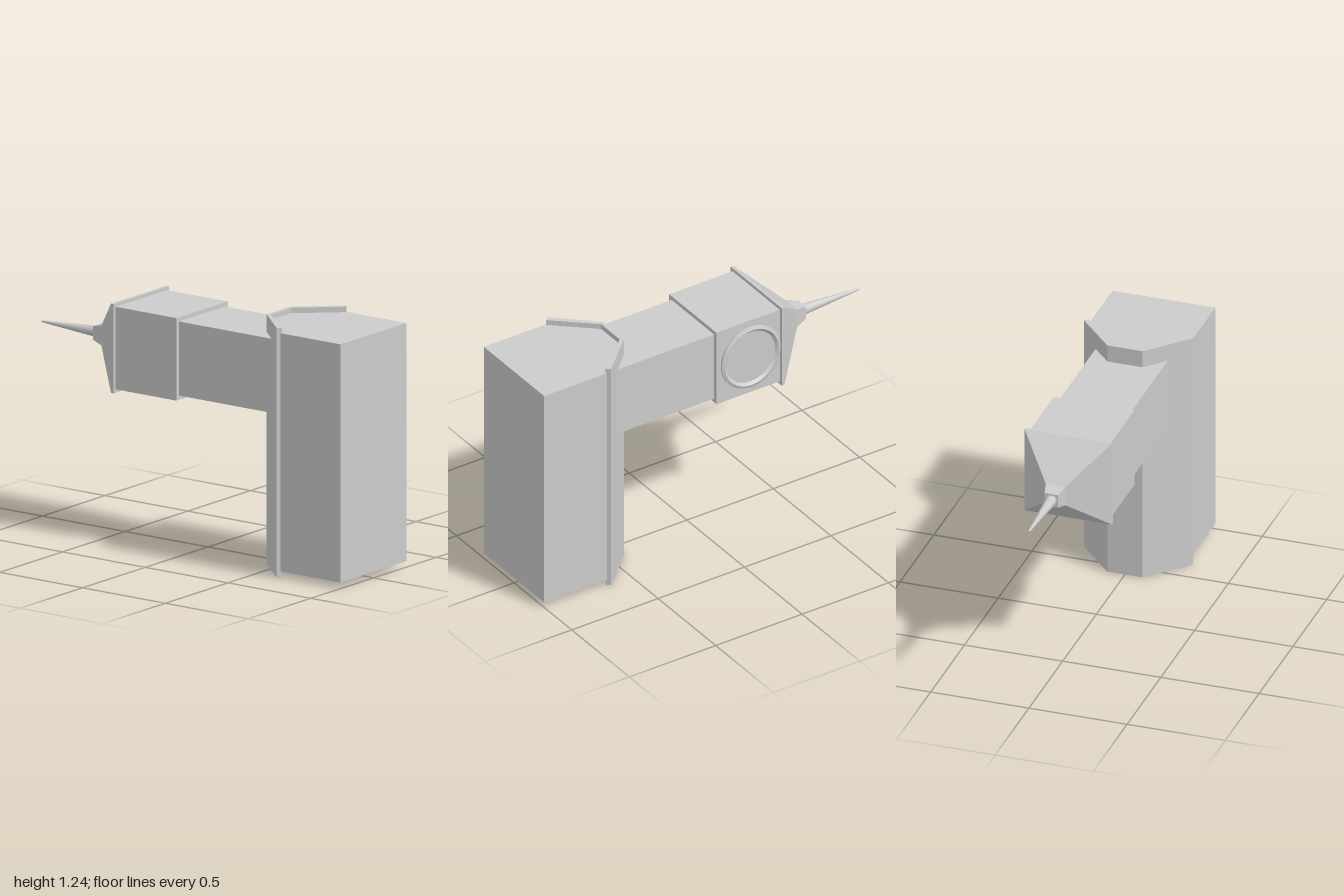
import * as THREE from 'three';

const AXIS_Y = 0.968; // height of the tower axis

export function createModel() {
  const group = new THREE.Group();
  const flat = new THREE.MeshStandardMaterial({ color: 0xcccccc, flatShading: true });
  const smooth = new THREE.MeshStandardMaterial({ color: 0xcccccc });

  const add = (name, geometry, material = flat) => {
    const mesh = new THREE.Mesh(geometry, material);
    mesh.name = name;
    group.add(mesh);
    return mesh;
  };

  // Prism from an (x, z) outline, running from y0 to y1
  const prism = (name, points, y0, y1) => {
    const shape = new THREE.Shape(points.map(([x, z]) => new THREE.Vector2(x, -z)));
    const geometry = new THREE.ExtrudeGeometry(shape, { depth: y1 - y0, bevelEnabled: false });
    add(name, geometry.rotateX(-Math.PI / 2).translate(0, y0, 0));
  };

  // Square block along the tower axis
  const block = (name, half, z0, z1) =>
    add(name, new THREE.BoxGeometry(half * 2, half * 2, z0 - z1).translate(0, AXIS_Y, (z0 + z1) / 2));

  // Square frustum pointing to -z
  const frustum = (name, half0, half1, z0, z1) => {
    const r = Math.SQRT2;
    const geometry = new THREE.CylinderGeometry(half1 * r, half0 * r, z0 - z1, 4)
      .rotateY(Math.PI / 4)
      .rotateX(-Math.PI / 2)
      .translate(0, AXIS_Y, (z0 + z1) / 2);
    add(name, geometry);
  };

  // Hall with its gambrel end, and the roof sheet over it
  prism('hall', [[-0.262, 1], [0.262, 1], [0.262, 0.635], [0.08, 0.442], [-0.08, 0.442], [-0.262, 0.635]], 0.03, 1.213);
  prism('roof', [
    [-0.258, 0.642], [-0.08, 0.442], [0.08, 0.442], [0.258, 0.642],
    [0.277, 0.624], [0.09, 0.423], [-0.09, 0.423], [-0.277, 0.624],
  ], 0, 1.24);

  // Tower, belfry and stepped spire
  block('towerShaft', 0.184, 0.53, -0.035);
  block('belfry', 0.205, -0.035, -0.41);
  block('eave', 0.222, -0.402, -0.417);
  frustum('spireRoof', 0.222, 0.05, -0.417, -0.605);
  frustum('spireNeck', 0.05, 0.034, -0.605, -0.668);
  const spike = add('spike', new THREE.CylinderGeometry(0.005, 0.028, 0.334, 24).rotateX(-Math.PI / 2), smooth);
  spike.position.set(0, AXIS_Y, -0.833);

  // Round dial with a raised rim on the left wall
  const dial = new THREE.Group();
  dial.name = 'dial';
  dial.position.set(0.205, AXIS_Y, -0.23);
  dial.rotation.z = -Math.PI / 2;
  const rimProfile = [[0.17, -0.005], [0.17, 0.01], [0.155, 0.016], [0.141, 0.003]];
  for (let i = 0; i < rimProfile.length - 1; i++) {
    // one lathe band per facet keeps the rim edges sharp
    const band = [rimProfile[i], rimProfile[i + 1]].map(([r, h]) => new THREE.Vector2(r, h));
    const rim = new THREE.Mesh(new THREE.LatheGeometry(band, 48), smooth.clone());
    rim.material.side = THREE.DoubleSide;
    rim.name = 'dialRim';
    dial.add(rim);
  }
  const face = new THREE.Mesh(new THREE.CircleGeometry(0.141, 48).rotateX(-Math.PI / 2), smooth);
  face.name = 'dialFace';
  face.position.y = 0.003;
  dial.add(face);
  group.add(dial);

  return group;
}
